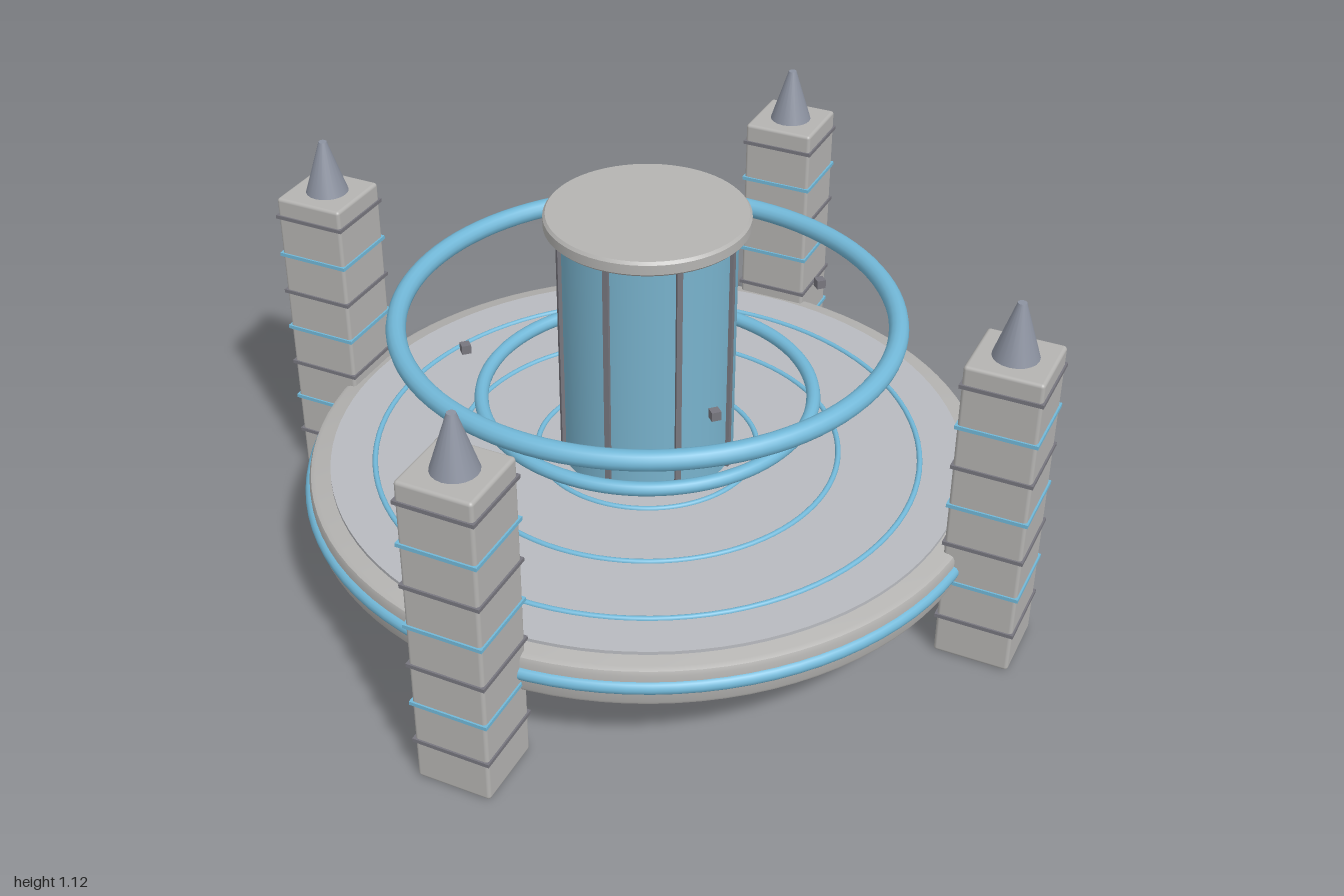
import * as THREE from 'three';
import { RoundedBoxGeometry } from 'three/addons/geometries/RoundedBoxGeometry.js';
import { toCreasedNormals } from 'three/addons/utils/BufferGeometryUtils.js';

const mat = (name, color) => {
  const m = new THREE.MeshStandardMaterial({ color });
  m.name = name;
  return m;
};

export function createModel() {
  const root = new THREE.Group();
  root.name = 'ringStation';
  const stone = mat('warm grey', 0xb4b3b1);
  const floor = mat('cool grey', 0xb8babf);
  const steel = mat('blue grey steel', 0x8c92a0);
  const trim = mat('dark grey trim', 0x77767e);
  const blue = mat('light blue', 0x72b8d8);
  const glass = mat('blue glass', 0x78b2cc);

  const add = (name, geo, material, x = 0, y = 0, z = 0, parent = root) => {
    const m = new THREE.Mesh(geo, material);
    m.name = name;
    m.position.set(x, y, z);
    parent.add(m);
    return m;
  };
  const ring = (name, radius, tube, y) =>
    add(name, new THREE.TorusGeometry(radius, tube, 14, 96).rotateX(Math.PI / 2), blue, 0, y);
  const lathe = (pts, segments) =>
    toCreasedNormals(new THREE.LatheGeometry(pts.map(p => new THREE.Vector2(...p)), segments), 0.6);

  // Round platform with softened rim, raised floor and inlaid rings
  add('platform', lathe([[0, 0.228], [0.965, 0.228], [0.975, 0.232], [0.98, 0.242], [0.98, 0.328],
    [0.975, 0.34], [0.962, 0.346], [0, 0.346]], 96), stone);
  add('platformFloor', new THREE.CylinderGeometry(0.918, 0.918, 0.02, 96), floor, 0, 0.346);
  ring('rimRing', 0.975, 0.02, 0.29);
  [0.32, 0.555, 0.79].forEach(r => ring('floorRing', r, 0.008, 0.356));

  // Floating rings
  ring('lowerRing', 0.475, 0.02, 0.54);
  ring('upperRing', 0.7, 0.028, 0.795);

  // Central core with mullions and cap
  add('core', new THREE.CylinderGeometry(0.25, 0.25, 0.74, 48), glass, 0, 0.72);
  add('coreCap', lathe([[0, 1.08], [0.278, 1.08], [0.285, 1.087], [0.285, 1.115], [0.278, 1.123],
    [0, 1.123]], 64), stone);

  // Eight mullions and eight support legs
  for (let i = 0; i < 8; i++) {
    const a = i * Math.PI / 4, s = Math.sin(a), c = Math.cos(a);
    add('mullion', new THREE.BoxGeometry(0.016, 0.74, 0.02), trim, s * 0.25, 0.72, c * 0.25).rotation.y = a;
    add('leg', new THREE.CylinderGeometry(0.047, 0.047, 0.232, 20), steel, s * 0.635, 0.116, c * 0.635);
  }

  // Small floating beacons
  for (let i = 0; i < 4; i++) {
    const a = i * Math.PI / 2;
    add('beacon', new THREE.BoxGeometry(0.026, 0.026, 0.026), trim,
      Math.sin(a) * 0.525, 0.795, Math.cos(a) * 0.525);
  }

  // Four banded corner towers with spires
  for (const sx of [-1, 1]) for (const sz of [-1, 1]) {
    const tower = new THREE.Group();
    tower.name = 'tower';
    tower.position.set(sx * 0.74, 0, sz * 0.74);
    tower.rotation.y = Math.PI / 4;
    root.add(tower);
    add('towerBody', new RoundedBoxGeometry(0.214, 0.946, 0.214, 3, 0.01), stone, 0, 0.474, 0, tower);
    for (let i = 0; i < 7; i++)
      add('towerBand', new THREE.BoxGeometry(0.224, 0.011, 0.224), i % 2 ? blue : trim,
        0, 0.128 + i * 0.1265, 0, tower);
    add('spire', new THREE.CylinderGeometry(0.012, 0.063, 0.16, 20), steel, 0, 1.026, 0, tower);
  }
  return root;
}
